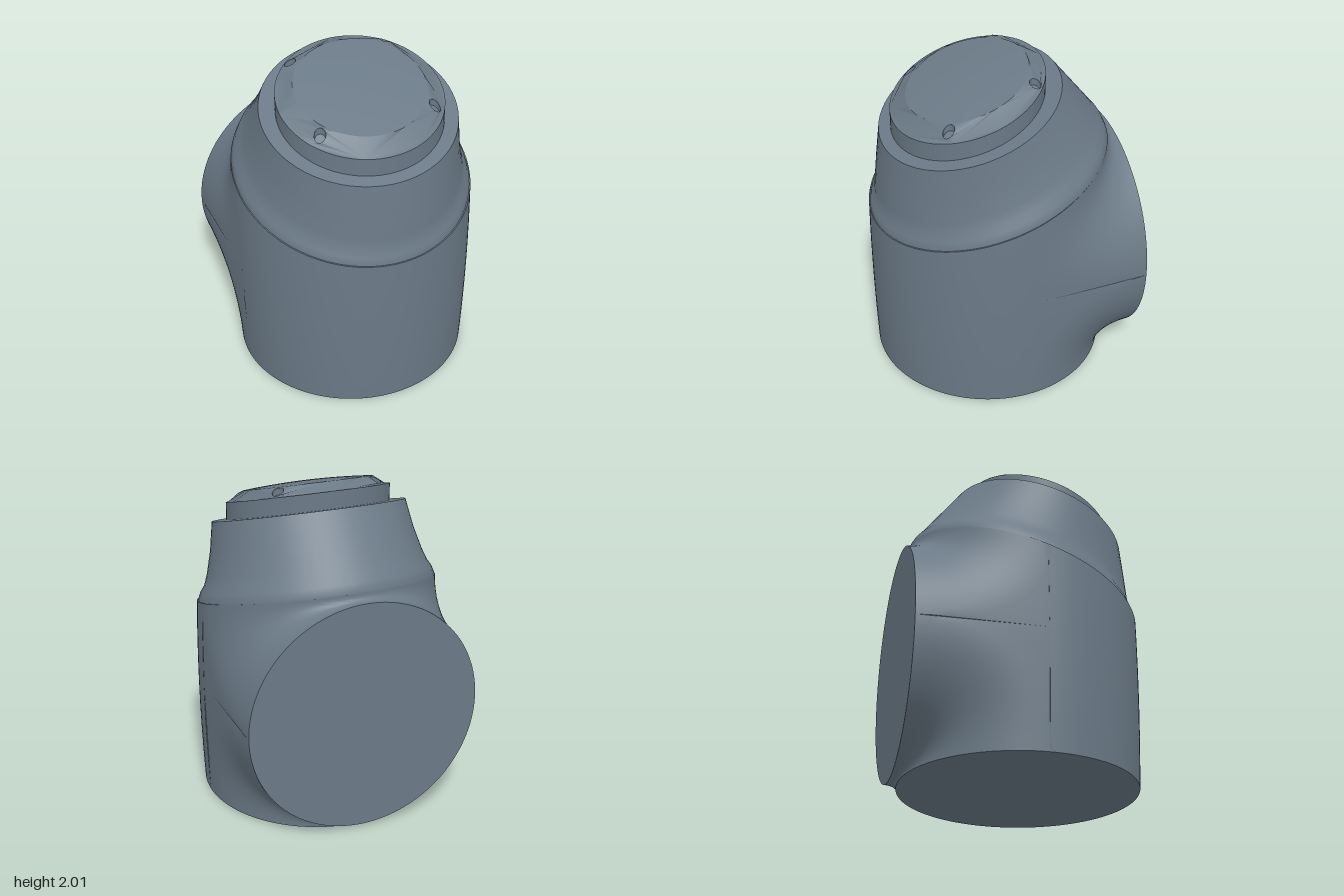
import * as THREE from 'three';
import { toCreasedNormals } from 'three/addons/utils/BufferGeometryUtils.js';

const V = (x, y, z) => new THREE.Vector3(x, y, z);

// Skin closed loops of points; optional centre points close the two ends
function loft(rows, startCentre, endCentre) {
  const n = rows[0].length, points = rows.flat(), index = [];
  for (let i = 0; i < rows.length - 1; i++) {
    for (let j = 0; j < n; j++) {
      const k = (j + 1) % n, a = i * n, b = a + n;
      index.push(a + j, a + k, b + k, a + j, b + k, b + j);
    }
  }
  const last = (rows.length - 1) * n;
  const fan = (centre, base, flip) => {
    const c = points.push(centre) - 1;
    for (let j = 0; j < n; j++) {
      const k = (j + 1) % n;
      index.push(c, base + (flip ? k : j), base + (flip ? j : k));
    }
  };
  if (startCentre) fan(startCentre, 0, true);
  if (endCentre) fan(endCentre, last, false);
  const g = new THREE.BufferGeometry().setFromPoints(points);
  g.setIndex(index);
  return toCreasedNormals(g, 0.6);
}

// Tilted oval ring: front z and y, back z and y, half width
function ring([zf, yf, zb, yb, w], segments = 72) {
  return Array.from({ length: segments }, (_, i) => {
    const a = (i / segments) * Math.PI * 2, t = Math.cos(a);
    return V(w * Math.sin(a), (yf + yb) / 2 + ((yf - yb) / 2) * t, (zf + zb) / 2 + ((zf - zb) / 2) * t);
  });
}

// Elbow: upright barrel and rear round port, blended slice by slice along x
const R = 0.715, ZC = 0.015, PORT_Y = 0.735, BACK = -0.745;
const shoulderY = (z) => 1.04 + (0.735 - z) * 0.32;

function bulge(p) {
  const b = Math.max(0, 1 - (p.y / 0.75 - 1) ** 2);
  const t = THREE.MathUtils.clamp((p.z - BACK) / 0.6, 0, 1);
  p.x *= 1 + 0.028 * b * (1 - (1 - t) ** 2);
  if (p.z > 0) p.z *= 1 + 0.02 * b;
  return p;
}

function elbowSlice(x, s) {
  const zf = ZC + s, zb = ZC - s, top = shoulderY(zf);
  const pts = [];
  for (let i = 0; i <= 12; i++) pts.push(V(x, top * (1 - i / 12), zf));
  const lower = new THREE.QuadraticBezierCurve3(V(x, 0, zb), V(x, PORT_Y - s, zb), V(x, PORT_Y - s, BACK));
  const upper = new THREE.QuadraticBezierCurve3(V(x, PORT_Y + s, BACK), V(x, PORT_Y + s, zb), V(x, shoulderY(zb), zb));
  pts.push(...lower.getPoints(16), ...upper.getPoints(16));
  return pts.map(bulge);
}

function elbowGeometry() {
  const rows = [], N = 64;
  for (let i = 0; i <= N; i++) {
    const a = Math.PI * (1 - i / N);
    rows.push(elbowSlice(R * Math.cos(a), R * Math.abs(Math.sin(a))));
  }
  return loft(rows, bulge(V(-R, PORT_Y, ZC)), bulge(V(R, PORT_Y, ZC)));
}

// Lid surface: tilted plane with a rounded rim and a slight crown
const LID = { rx: 0.5, rz: 0.4475, z: 0.1425 };
function lidY(x, z) {
  const r = Math.hypot(x / LID.rx, (z - LID.z) / LID.rz);
  const lift = r > 0.8 ? 0.06 * (1 - ((r - 0.8) / 0.2) ** 1.5) : 0.06 + 0.02 * (1 - (r / 0.8) ** 2);
  return 1.685 + (0.59 - z) * 0.324 + (r >= 1 ? 0 : lift);
}

function drape(g, offset = () => 0) {
  const p = g.attributes.position;
  for (let i = 0; i < p.count; i++) p.setY(i, lidY(p.getX(i), p.getZ(i)) + offset(p.getY(i)));
  g.computeVertexNormals();
  return g;
}

export function createModel() {
  const model = new THREE.Group();
  const paint = new THREE.MeshStandardMaterial({ color: 0x6b7a87, side: THREE.DoubleSide });
  paint.name = 'blue grey paint';
  const add = (name, geometry, parent = model) => {
    const mesh = new THREE.Mesh(geometry, paint);
    mesh.name = name;
    parent.add(mesh);
    return mesh;
  };

  add('elbowHousing', elbowGeometry());

  // Tapered neck with a soft step at its foot
  const neck = [
    [0.736, 1.0, -0.695, 1.44, 0.718],
    [0.738, 1.04, -0.7, 1.5, 0.72],
    [0.724, 1.09, -0.675, 1.55, 0.702],
    [0.706, 1.125, -0.64, 1.59, 0.676],
    [0.7, 1.2, -0.6, 1.645, 0.652],
    [0.685, 1.35, -0.51, 1.76, 0.618],
    [0.66, 1.55, -0.4, 1.9, 0.592],
  ];
  add('neck', loft(neck.map((r) => ring(r)), null, V(0, 1.725, 0.13)));

  // Lid with four screw recesses through its rounded rim
  const lid = new THREE.Group();
  lid.name = 'lid';
  model.add(lid);
  const wall = [[0.59, 1.55, -0.305, 1.84, 0.5], [0.59, 1.685, -0.305, 1.975, 0.5]];
  add('lidWall', loft(wall.map((r) => ring(r))), lid);

  const crown = new THREE.RingGeometry(0, 0.79, 72, 8);
  crown.rotateX(-Math.PI / 2).scale(LID.rx, 1, LID.rz).translate(0, 0, LID.z);
  add('lidCrown', drape(crown), lid);

  const screws = [[0.305, -0.16], [0.36, 0.375]].flatMap(([x, z]) => [[x, z], [-x, z]]);
  const holeR = 0.033;
  const oval = (k) => new THREE.Path().absellipse(0, -LID.z, LID.rx * k, LID.rz * k, 0, Math.PI * 2);
  const rim = new THREE.Shape(oval(1).getPoints(72));
  rim.holes.push(oval(0.79));
  for (const [x, z] of screws) rim.holes.push(new THREE.Path().absarc(x, -z, holeR, 0, Math.PI * 2));
  add('lidRim', drape(new THREE.ShapeGeometry(rim, 36).rotateX(-Math.PI / 2)), lid);

  for (const [x, z] of screws) {
    const sides = new THREE.CylinderGeometry(holeR, holeR, 1, 24, 1, true).translate(x, 0, z);
    const floor = new THREE.CircleGeometry(holeR, 24).rotateX(-Math.PI / 2).translate(x, 0, z);
    // Turn the wall to face into the recess
    sides.setIndex(Array.from(sides.index.array).reverse());
    add('screwRecess', drape(sides, (y) => (y > 0 ? 0 : -0.04)), lid);
    add('screwRecessFloor', drape(floor, () => -0.04), lid);
  }
  return model;
}
